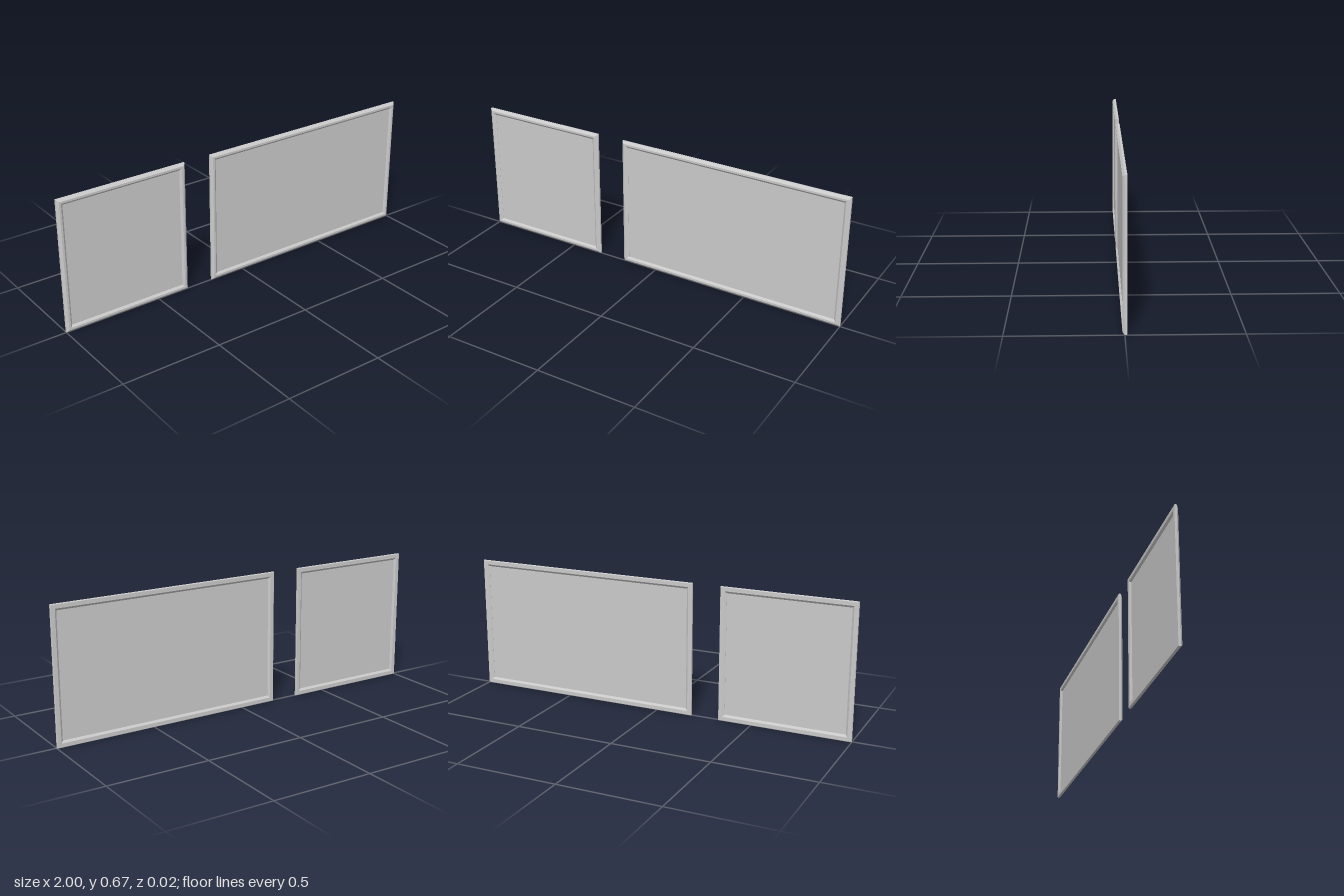
import * as THREE from 'three';

const HEIGHT = 0.672;
const material = new THREE.MeshStandardMaterial({ color: 0xcccccc, flatShading: true });

// Moulding cross-section: [inset from the outer edge, z], from the back round to the front and in
const PROFILE = [
  [0.002, -0.01], [0, -0.008], [0, 0.001], [0.011, 0.01],
  [0.021, 0.01], [0.031, 0.002], [0.031, -0.002], [0.021, -0.01],
];

// Sweeps the moulding round a rectangle with mitred corners
function mitredFrame(width, height) {
  const corner = (i, k) => {
    const [inset, z] = PROFILE[i % PROFILE.length];
    const sx = k % 4 === 1 || k % 4 === 2 ? 1 : -1;
    const sy = k % 4 >= 2 ? 1 : -1;
    return [sx * (width / 2 - inset), sy * (height / 2 - inset), z];
  };
  const positions = [];
  for (let i = 0; i < PROFILE.length; i++) {
    for (let k = 0; k < 4; k++) {
      const a = corner(i, k), b = corner(i, k + 1);
      const c = corner(i + 1, k + 1), d = corner(i + 1, k);
      positions.push(...a, ...b, ...c, ...a, ...c, ...d);
    }
  }
  const geometry = new THREE.BufferGeometry();
  geometry.setAttribute('position', new THREE.Float32BufferAttribute(positions, 3));
  geometry.computeVertexNormals();
  return geometry;
}

// A thin sheet held in a bevelled frame
function framedPanel(name, x0, x1) {
  const group = new THREE.Group();
  group.name = name;
  const width = x1 - x0;

  const frame = new THREE.Mesh(mitredFrame(width, HEIGHT), material);
  frame.name = 'frame';

  const sheet = new THREE.Mesh(new THREE.BoxGeometry(width - 0.058, HEIGHT - 0.058, 0.002), material);
  sheet.name = 'sheet';

  group.add(frame, sheet);
  group.position.set((x0 + x1) / 2, HEIGHT / 2, 0);
  return group;
}

export function createModel() {
  const model = new THREE.Group();
  model.name = 'framedPanels';
  model.add(framedPanel('squarePanel', -1, -0.332), framedPanel('widePanel', -0.188, 1));
  return model;
}
